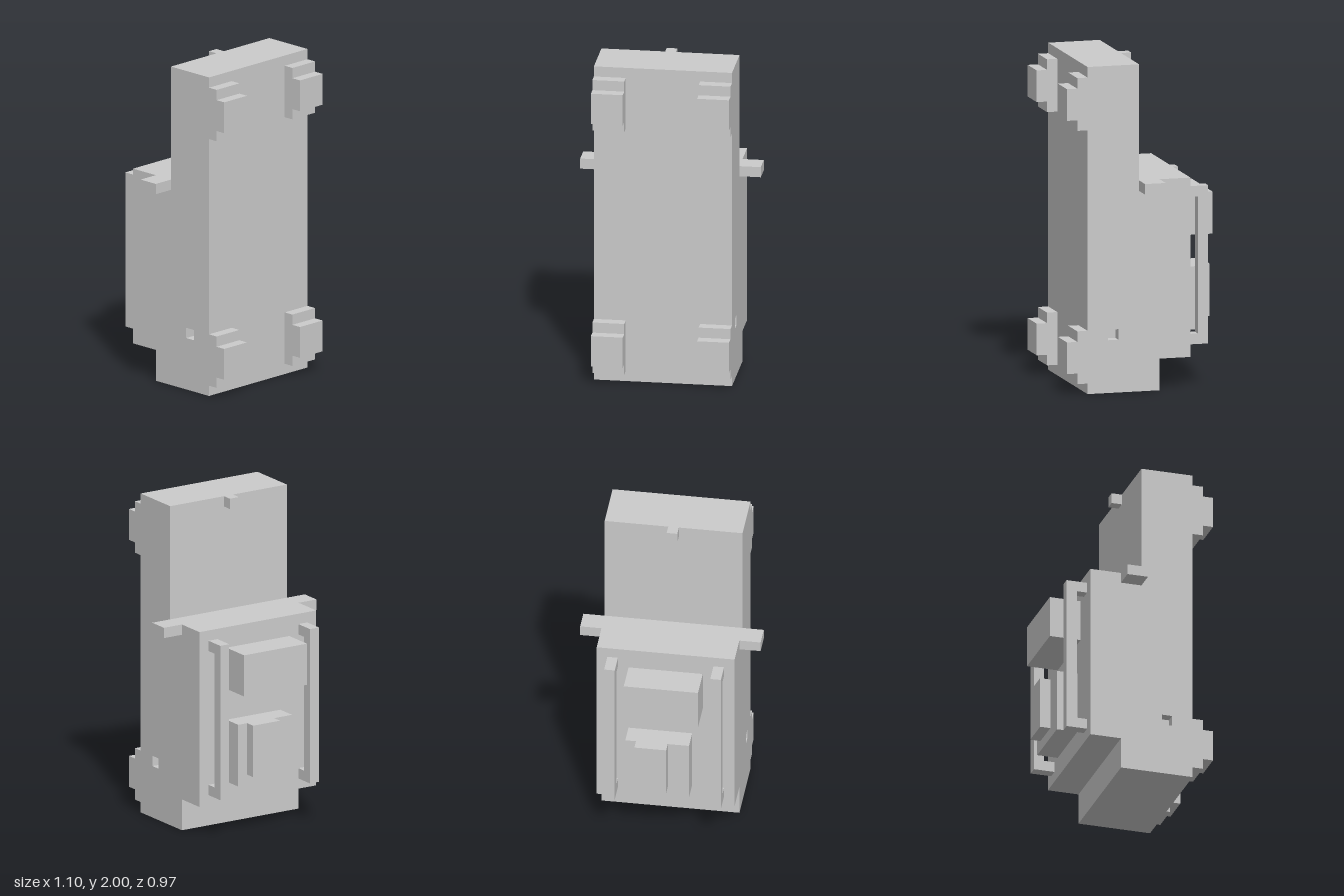
import * as THREE from 'three';

// The model sits on a regular block grid, 31 blocks tall
const U = 2 / 31;
const material = new THREE.MeshStandardMaterial({ color: 0xcccccc, flatShading: true });

// Box given by its min/max block coordinates on each axis
function block(name, [x0, x1], [y0, y1], [z0, z1]) {
  const geo = new THREE.BoxGeometry((x1 - x0) * U, (y1 - y0) * U, (z1 - z0) * U);
  geo.translate((x0 + x1) / 2 * U, (y0 + y1) / 2 * U, (z0 + z1) / 2 * U);
  const mesh = new THREE.Mesh(geo, material);
  mesh.name = name;
  return mesh;
}

// Slice of the stepped side profile between two x positions
function bodySlice(name, x0, x1, withSocket) {
  const points = [[5.5, 0], [5.5, 31], [0.5, 31], [0.5, 20], [-4.5, 20], [-4.5, 3], [-1.5, 3], [-1.5, 0]];
  const toVectors = (list) => list.map(([z, y]) => new THREE.Vector2(z * U, y * U));
  const shape = new THREE.Shape(toVectors(points));
  if (withSocket) {
    shape.holes.push(new THREE.Path(toVectors([[2.5, 5], [3.5, 5], [3.5, 6], [2.5, 6]])));
  }
  const geo = new THREE.ExtrudeGeometry(shape, { depth: (x1 - x0) * U, bevelEnabled: false });
  geo.rotateY(-Math.PI / 2);
  geo.translate(x1 * U, 0, 0);
  const mesh = new THREE.Mesh(geo, material);
  mesh.name = name;
  return mesh;
}

export function createModel() {
  const model = new THREE.Group();
  model.name = 'steppedDevice';

  // Body: solid core with side plates that carry the shallow square sockets
  const body = new THREE.Group();
  body.name = 'body';
  body.add(
    bodySlice('core', -5.5, 5.5, false),
    bodySlice('leftSidePlate', 5.5, 6.5, true),
    bodySlice('rightSidePlate', -6.5, -5.5, true),
  );
  model.add(body);

  for (const [side, s] of [['left', 1], ['right', -1]]) {
    const span = (a, b) => (s > 0 ? [a, b] : [-b, -a]);

    // Stepped feet at the front corners
    for (const [level, y] of [['Lower', 1], ['Upper', 25]]) {
      const foot = new THREE.Group();
      foot.name = `${side}${level}Foot`;
      foot.add(
        block('footBase', span(3.5, 6.5), [y, y + 5], [5.5, 6.5]),
        block('footPad', span(3.5, 6.5), [y + 1, y + 4], [6.5, 7.5]),
      );
      model.add(foot);
    }

    // Tab at the shoulder
    model.add(block(`${side}Tab`, span(6.5, 8.5), [19, 20], [-1.5, 0.5]));

    // Upright rail on two standoffs
    const rail = new THREE.Group();
    rail.name = `${side}Rail`;
    rail.add(
      block('railBar', span(4.5, 5.5), [4, 19], [-6.5, -5.5]),
      block('lowerStandoff', span(4.5, 5.5), [4, 5], [-5.5, -4.5]),
      block('upperStandoff', span(4.5, 5.5), [18, 19], [-5.5, -4.5]),
    );
    model.add(rail);
  }

  // Details on the back
  model.add(
    block('topCatch', [-0.5, 0.5], [30, 31], [-0.5, 0.5]),
    block('upperBackBox', [-3.5, 3.5], [14, 18], [-7.5, -4.5]),
    block('lowerBackBox', [-2.5, 3.5], [5, 11], [-6.5, -4.5]),
    block('lowerBackPanel', [-0.5, 2.5], [6, 11], [-7.5, -6.5]),
  );
  return model;
}
